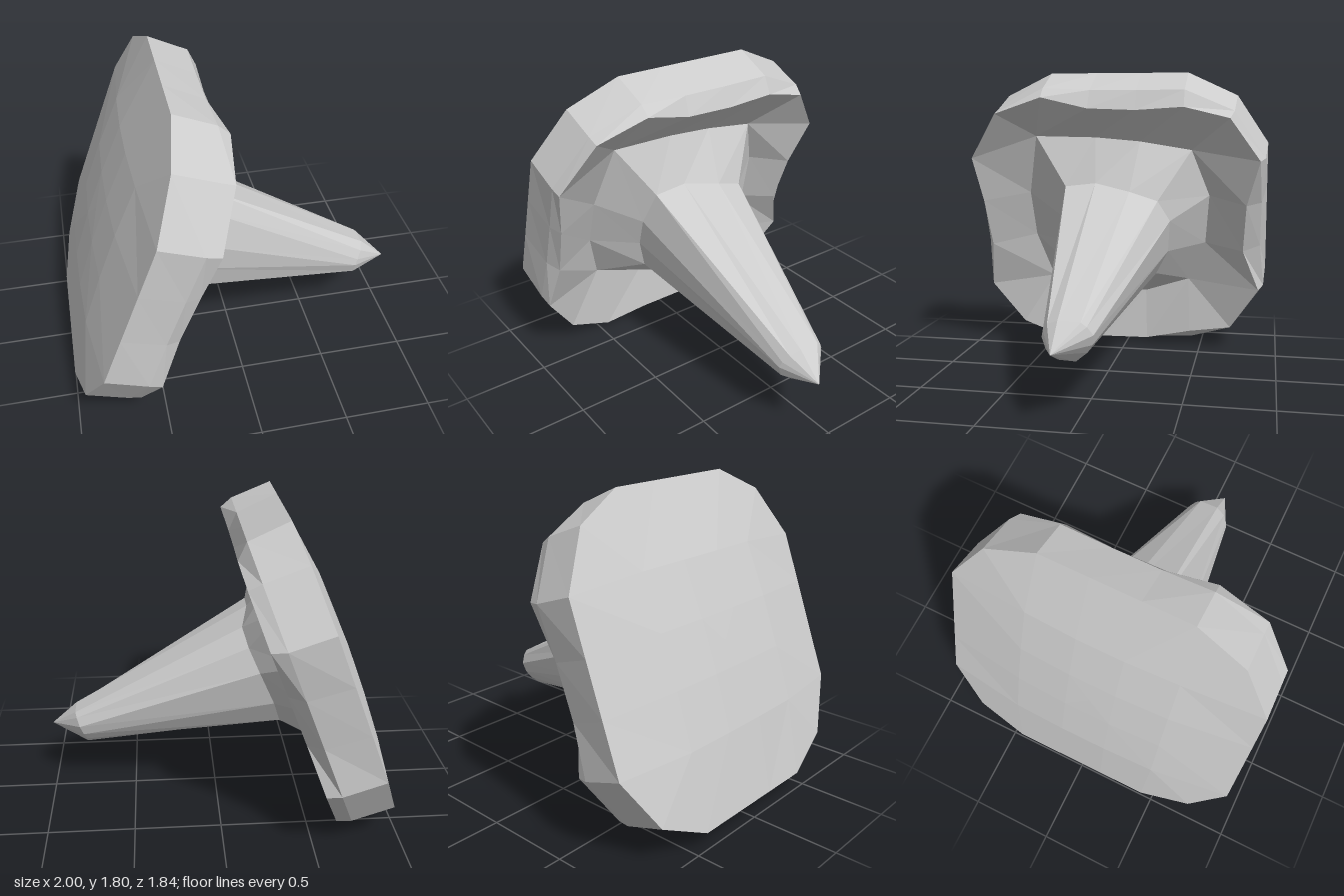
import * as THREE from 'three';

// Local frame: each point is [z, h, a]; h runs up the tilted cap, a runs along the stem axis
const toWorld = ([z, h, a]) => [-0.68 + 0.936 * a + 0.352 * h, 0.96 - 0.352 * a + 0.936 * h, z];

// Rings start at the top (z from - to +), then go down +z, along the bottom and up -z
const ring = (a, pts) => pts.map(([z, h, da = 0]) => [z, h, a + da]);

// Widen a 12-point ring to 20 points by repeating its four corners
function widen(r) {
  const out = [];
  for (let s = 0; s < 4; s++) {
    for (const k of [0, 1, 2, 3, 3]) out.push(r[(3 * s + k) % 12]);
  }
  return out;
}

// Skin consecutive rings, dropping collapsed triangles
function skin(name, rings, material) {
  const pos = [];
  const same = (p, q) => p.every((v, i) => Math.abs(v - q[i]) < 1e-6);
  const tri = (p, q, r) => {
    if (!same(p, q) && !same(q, r) && !same(p, r)) pos.push(...toWorld(p), ...toWorld(q), ...toWorld(r));
  };
  for (let i = 0; i + 1 < rings.length; i++) {
    const n = rings[i].length;
    for (let j = 0; j < n; j++) {
      const k = (j + 1) % n;
      tri(rings[i][j], rings[i][k], rings[i + 1][k]);
      tri(rings[i][j], rings[i + 1][k], rings[i + 1][j]);
    }
  }
  const geo = new THREE.BufferGeometry();
  geo.setAttribute('position', new THREE.Float32BufferAttribute(pos, 3));
  geo.computeVertexNormals();
  const mesh = new THREE.Mesh(geo, material);
  mesh.name = name;
  return mesh;
}

export function createModel() {
  const group = new THREE.Group();
  group.name = 'peg';
  const material = new THREE.MeshStandardMaterial({ color: 0xcccccc, flatShading: true });

  // Domed back of the cap
  const center = Array(20).fill([0, 0, -0.082]);
  const q = [[-0.14, 0.15], [0.14, 0.15], [0.14, -0.15], [-0.14, -0.15]];
  const inner = widen(ring(-0.08, [0, 0, 1, 1, 1, 2, 2, 2, 3, 3, 3, 0].map((i) => q[i])));
  const middle = widen(ring(-0.065, [
    [-0.45, 0.47, 0.015], [-0.14, 0.47], [0.14, 0.47], [0.45, 0.47, 0.015],
    [0.45, 0.15], [0.45, -0.15], [0.45, -0.47, 0.01],
    [0.14, -0.47], [-0.14, -0.47], [-0.45, -0.47, 0.01],
    [-0.45, -0.15], [-0.45, 0.15],
  ]));

  // Rounded-square rim
  const backRim = ring(0, [
    [-0.43, 0.908], [-0.14, 0.908], [0.14, 0.908], [0.43, 0.908], [0.73, 0.76],
    [0.92, 0.45], [0.92, 0.15], [0.92, -0.15], [0.92, -0.45], [0.73, -0.76],
    [0.43, -0.908], [0.14, -0.908], [-0.14, -0.908], [-0.43, -0.908], [-0.73, -0.76],
    [-0.92, -0.45], [-0.92, -0.15], [-0.92, 0.15], [-0.92, 0.45], [-0.73, 0.76],
  ]);
  const frontRim = ring(0.33, [
    [-0.43, 0.81], [-0.14, 0.79], [0.15, 0.8], [0.43, 0.87], [0.73, 0.765],
    [0.92, 0.466], [0.88, 0.167], [0.86, -0.154], [0.9, -0.464], [0.71, -0.763],
    [0.43, -0.891], [0.15, -0.86], [-0.14, -0.855], [-0.43, -0.785], [-0.7, -0.74],
    [-0.88, -0.44], [-0.78, -0.154], [-0.8, 0.167], [-0.88, 0.466], [-0.7, 0.74],
  ]);
  const shoulder = backRim.map((p, i) => {
    const f = frontRim[i];
    return [p[0] * 0.75 + f[0] * 0.25, p[1] * 0.8 + f[1] * 0.2, 0.25];
  });

  // Hollow under the cap leading to the neck
  const neck = ring(0.2, [
    [-0.46, 0.48], [-0.14, 0.535], [0.14, 0.56], [0.52, 0.566],
    [0.6, 0.17], [0.59, -0.14], [0.5, -0.46],
    [0.14, -0.55], [-0.13, -0.555], [-0.42, -0.45],
    [-0.535, -0.17], [-0.565, 0.17],
  ]);
  group.add(skin('cap', [center, inner, middle, backRim, shoulder, frontRim, widen(neck)], material));

  // Flared neck and tapering stem ending in an off-centre point
  const stemBase = ring(0.41, [
    [-0.27, 0.25, 0.04], [-0.1, 0.31, 0.04], [0.12, 0.335, -0.02], [0.31, 0.31, -0.02],
    [0.36, 0.1, -0.03], [0.35, -0.09, -0.03], [0.31, -0.26, 0.01],
    [0.11, -0.34, 0.07], [-0.08, -0.34, 0.07], [-0.24, -0.27, 0.03],
    [-0.32, -0.11, 0.02], [-0.34, 0.11, 0.03],
  ]);
  const stemEnd = ring(1.58, [
    [-0.05, 0.11], [-0.02, 0.135], [0.1, 0.14], [0.16, 0.11, -0.01],
    [0.19, 0.06, -0.02], [0.2, 0.02, -0.02], [0.18, -0.04],
    [0.11, -0.09, 0.02], [0.02, -0.095, 0.02], [-0.04, -0.05],
    [-0.07, 0], [-0.08, 0.06],
  ]);
  const point = Array(12).fill([0.1, 0.067, 1.77]);
  group.add(skin('neck', [neck, stemBase], material));
  group.add(skin('stem', [stemBase, stemEnd, point], material));
  return group;
}
